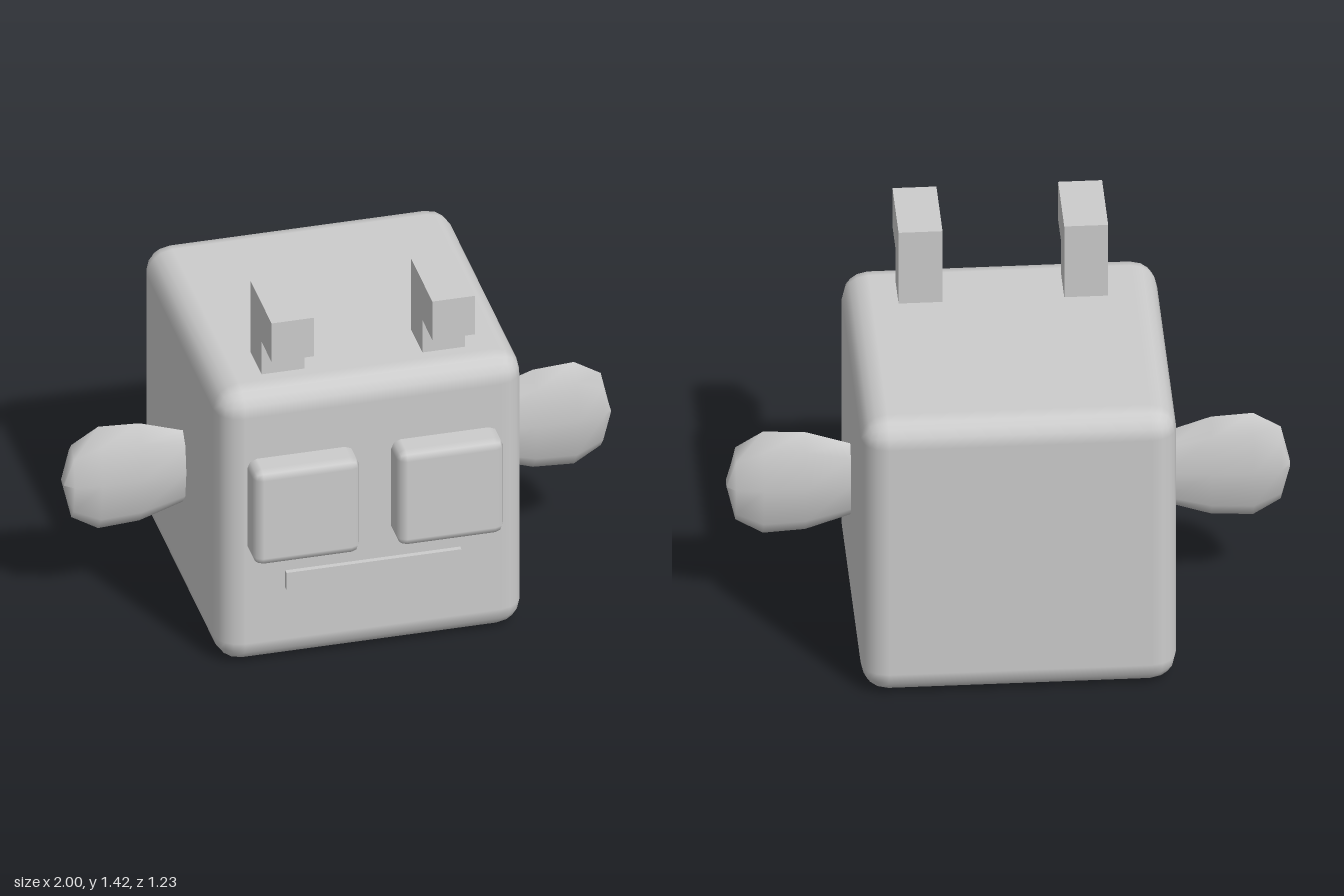
import * as THREE from 'three';
import { RoundedBoxGeometry } from 'three/addons/geometries/RoundedBoxGeometry.js';

const grey = new THREE.MeshStandardMaterial({ color: 0xcccccc });
grey.name = 'light grey';

function part(name, geometry, x = 0, y = 0, z = 0) {
  const mesh = new THREE.Mesh(geometry, grey);
  mesh.name = name;
  mesh.position.set(x, y, z);
  return mesh;
}

// Flattened paddle arm lofted along +x from eight-sided oval rings
function armGeometry() {
  const rings = [ // x, half height, half thickness
    [0.48, 0.125, 0.042], [0.56, 0.148, 0.05], [0.72, 0.202, 0.063],
    [0.87, 0.211, 0.065], [0.968, 0.15, 0.052], [1.0, 0.008, 0.024],
  ];
  const sides = 8, pos = [], index = [];
  for (const [x, h, d] of rings) {
    for (let k = 0; k < sides; k++) {
      const a = (k / sides) * Math.PI * 2;
      pos.push(x, h * Math.cos(a), d * Math.sin(a));
    }
  }
  for (let i = 0; i < rings.length - 1; i++) {
    for (let k = 0; k < sides; k++) {
      const a = i * sides + k, b = i * sides + (k + 1) % sides;
      index.push(a, b, a + sides, b, b + sides, a + sides);
    }
  }
  // Close the tip
  const tip = (rings.length - 1) * sides;
  for (let k = 1; k < sides - 1; k++) index.push(tip, tip + k, tip + k + 1);
  const g = new THREE.BufferGeometry();
  g.setAttribute('position', new THREE.Float32BufferAttribute(pos, 3));
  g.setIndex(index);
  g.computeVertexNormals();
  return g;
}

// Hooked antenna: side outline (z, y) extruded across x
function antennaGeometry() {
  const outline = [[0.22, 1.1], [0.38, 1.1], [0.38, 1.26], [0.52, 1.26], [0.52, 1.42], [0.22, 1.42]];
  const shape = new THREE.Shape(outline.map(([z, y]) => new THREE.Vector2(-z, y)));
  const g = new THREE.ExtrudeGeometry(shape, { depth: 0.156, bevelEnabled: false });
  g.translate(0, 0, -0.078);
  return g.rotateY(Math.PI / 2);
}

// Smiling mouth plate
function mouthGeometry() {
  const half = [[0.32, 0.38], [0.32, 0.31], [0.28, 0.237], [0.168, 0.185]];
  const points = [
    ...half.map(([x, y]) => new THREE.Vector2(-x, y)),
    new THREE.Vector2(0, 0.165),
    ...half.slice().reverse().map(([x, y]) => new THREE.Vector2(x, y)),
  ];
  return new THREE.ExtrudeGeometry(new THREE.Shape(points), { depth: 0.05, bevelEnabled: false });
}

export function createModel() {
  const model = new THREE.Group();
  model.name = 'cubeRobot';

  model.add(part('body', new RoundedBoxGeometry(1.12, 1.125, 1.122, 2, 0.095), 0, 0.5625, -0.05));
  model.add(part('mouth', mouthGeometry(), 0, 0, 0.48));

  const eye = new RoundedBoxGeometry(0.39, 0.39, 0.23, 1, 0.034);
  const antenna = antennaGeometry();
  const arm = armGeometry();
  for (const [side, s] of [['left', 1], ['right', -1]]) {
    model.add(part(side + 'Eye', eye, s * 0.263, 0.665, 0.5));
    model.add(part(side + 'Antenna', antenna, s * 0.294, 0, 0));
    const limb = part(side + 'Arm', arm, 0, 0.543, -0.006);
    if (s < 0) limb.rotation.y = Math.PI;
    model.add(limb);
  }
  return model;
}
